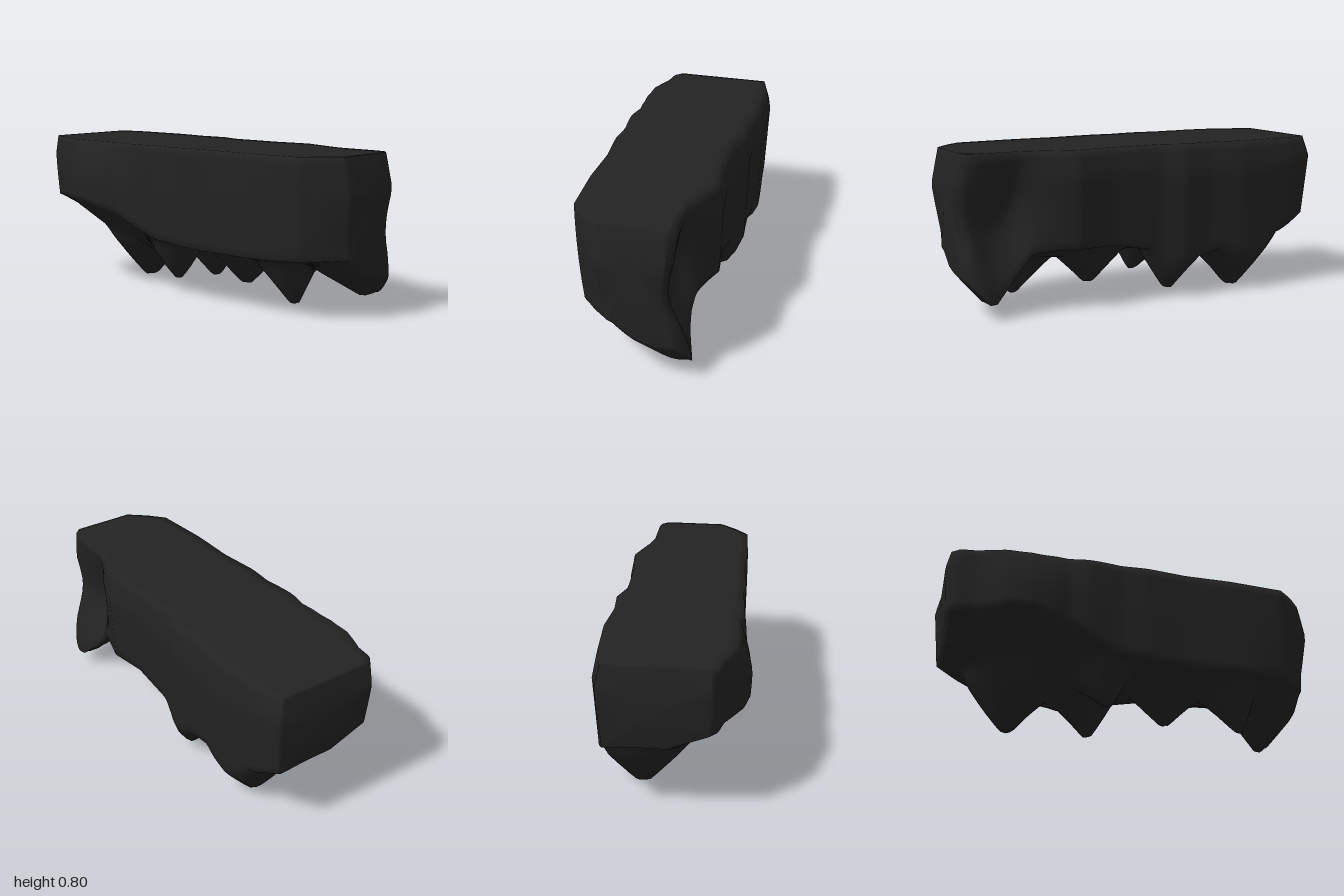
import * as THREE from 'three';

// Piecewise linear curve through [position, value] pairs
function curve(points) {
  return (x) => {
    if (x <= points[0][0]) return points[0][1];
    for (let i = 1; i < points.length; i++) {
      const [x0, y0] = points[i - 1], [x1, y1] = points[i];
      if (x <= x1) return y0 + (y1 - y0) * (x - x0) / (x1 - x0);
    }
    return points[points.length - 1][1];
  };
}
const bump = (x, centre, width) => Math.exp(-(((x - centre) / width) ** 2));
const { lerp, smoothstep } = THREE.MathUtils;

const TOP = 0.8;

// Plan outline, lower edges and end profiles of the slab
const backZ = curve([[-1, -0.31], [-0.87, -0.345], [-0.55, -0.37], [-0.35, -0.355], [-0.2, -0.37], [-0.08, -0.335],
  [0.2, -0.345], [0.4, -0.375], [0.5, -0.345], [0.58, -0.32], [0.67, -0.302], [0.9, -0.305], [0.96, -0.295], [1, -0.26]]);
const frontZ = curve([[-1, 0.21], [-0.95, 0.25], [-0.85, 0.27], [-0.7, 0.35], [-0.58, 0.372], [-0.45, 0.355],
  [-0.38, 0.33], [-0.28, 0.325], [-0.1, 0.285], [0.04, 0.29], [0.25, 0.265], [0.5, 0.265], [0.8, 0.24], [0.9, 0.17], [1, 0.08]]);
const frontEdgeY = curve([[-1, 0.47], [-0.6, 0.48], [-0.4, 0.44], [-0.12, 0.31], [0.2, 0.285], [0.6, 0.29], [1, 0.31]]);
const innerY = curve([[-1, 0.39], [-0.9, 0.34], [-0.8, 0.3], [-0.5, 0.25], [-0.35, 0.19], [-0.25, 0.2], [-0.03, 0.25], [0.42, 0.24], [1, 0.26]]);
const backEdgeY = curve([[-1, 0.38], [-0.8, 0.3], [-0.5, 0.25], [-0.3, 0.21], [0, 0.27], [0.2, 0.31], [0.5, 0.31], [0.75, 0.28]]);
const leftEnd = curve([[0.38, 0.972], [0.7, 1], [0.8, 0.975]]);
const rightEnd = curve([[0.23, 0.972], [0.38, 0.965], [0.62, 1], [0.8, 0.96]]);

// Hanging points: tip x, tip y, tip z, reach to -x, reach to +x, reach in z, exponent
const spikes = [
  [-0.6, 0, -0.16, 0.21, 0.19, 0.23, 0.95],
  [-0.16, 0.04, -0.24, 0.15, 0.13, 0.14, 1],
  [-0.12, 0.08, 0.09, 0.16, 0.09, 0.12, 0.9],
  [0.22, 0.08, -0.07, 0.16, 0.17, 0.17, 1.1],
  [0.62, 0.045, 0.015, 0.22, 0.07, 0.14, 1.1],
  [0.85, 0.08, -0.27, 0.2, 0.18, 0.32, 1],
];

function undersideY(x, z, v) {
  // v runs from the front edge (0) to the back edge (1)
  const middle = lerp(frontEdgeY(x), innerY(x), Math.min(1, v / 0.4));
  const base = lerp(middle, backEdgeY(x), smoothstep(v, 0.65, 1));
  let y = base;
  for (const [sx, sy, sz, left, right, depth, power] of spikes) {
    const d = Math.hypot((x - sx) / (x < sx ? left : right), (z - sz) / depth);
    const s = Math.min(1, Math.max(0, 1.17 - d));
    y = Math.min(y, base + (sy - base) * s ** power);
  }
  return y;
}

// One closed cross-section: top, front, underside, back
function section(x) {
  const ring = [];
  const zb = backZ(x), zf = frontZ(x);
  const yf = undersideY(x, zf, 0), yb = undersideY(x, zb, 1);
  const alcove = 0.1 * bump(x, 0.72, x < 0.72 ? 0.11 : 0.26);
  const foot = 0.055 * bump(x, 0.88, 0.13);
  const bulge = 0.07 * bump(x, -0.55, 0.25);
  const lean = 0.012 + 0.03 * smoothstep(x, 0.6, 0.9);
  const frontAt = (t) => zf - bulge * Math.max(0, 1 - 1.4 * t) ** 2 - lean * t * t;
  const backAt = (t) => zb + 0.1 * Math.max(0, 0.25 - t) + 0.025 * Math.max(0, t - 0.25)
    + alcove * Math.max(0, Math.sin(Math.PI * t)) ** 1.2 - foot * smoothstep(t, 0.5, 0.85);
  const end = x < 0 ? leftEnd : rightEnd;
  const k = Math.max(0, (Math.abs(x) - 0.8) / 0.2);
  const add = (y, z) => ring.push([x * (1 + (end(y) - 1) * k), y, z]);
  const T = 12, S = 12, U = 28;
  for (let i = 0; i < T; i++) add(TOP, lerp(backAt(0), frontAt(0), i / T));
  for (let i = 0; i < S; i++) add(lerp(TOP, yf, i / S), frontAt(i / S));
  for (let i = 0; i < U; i++) {
    const v = i / U, z = lerp(frontAt(1), backAt(1), v);
    add(undersideY(x, z, v), z);
  }
  for (let i = 0; i < S; i++) add(lerp(yb, TOP, i / S), backAt(1 - i / S));
  return ring;
}

function rockGeometry() {
  const N = 90, index = [];
  const rings = Array.from({ length: N + 1 }, (_, i) => section(-1 + 2 * i / N));
  const M = rings[0].length;
  const position = rings.flat(2);
  for (let i = 0; i < N; i++) {
    for (let j = 0; j < M; j++) {
      const a = i * M + j, b = i * M + (j + 1) % M, c = b + M, d = a + M;
      index.push(a, b, c, a, c, d);
    }
  }
  // End faces
  for (const i of [0, N]) {
    const centre = position.length / 3;
    position.push(i ? 0.99 : -0.995, 0.6, i ? -0.09 : -0.05);
    for (let j = 0; j < M; j++) {
      const a = i * M + j, b = i * M + (j + 1) % M;
      if (i) index.push(centre, a, b);
      else index.push(centre, b, a);
    }
  }
  const geometry = new THREE.BufferGeometry();
  geometry.setAttribute('position', new THREE.Float32BufferAttribute(position, 3));
  geometry.setIndex(index);
  geometry.computeVertexNormals();
  return geometry;
}

export function createModel() {
  const group = new THREE.Group();
  group.name = 'hangingRockSlab';
  const darkRock = new THREE.MeshStandardMaterial({ color: 0x232323 });
  darkRock.name = 'darkRock';
  const rock = new THREE.Mesh(rockGeometry(), darkRock);
  rock.name = 'rock';
  group.add(rock);
  return group;
}
